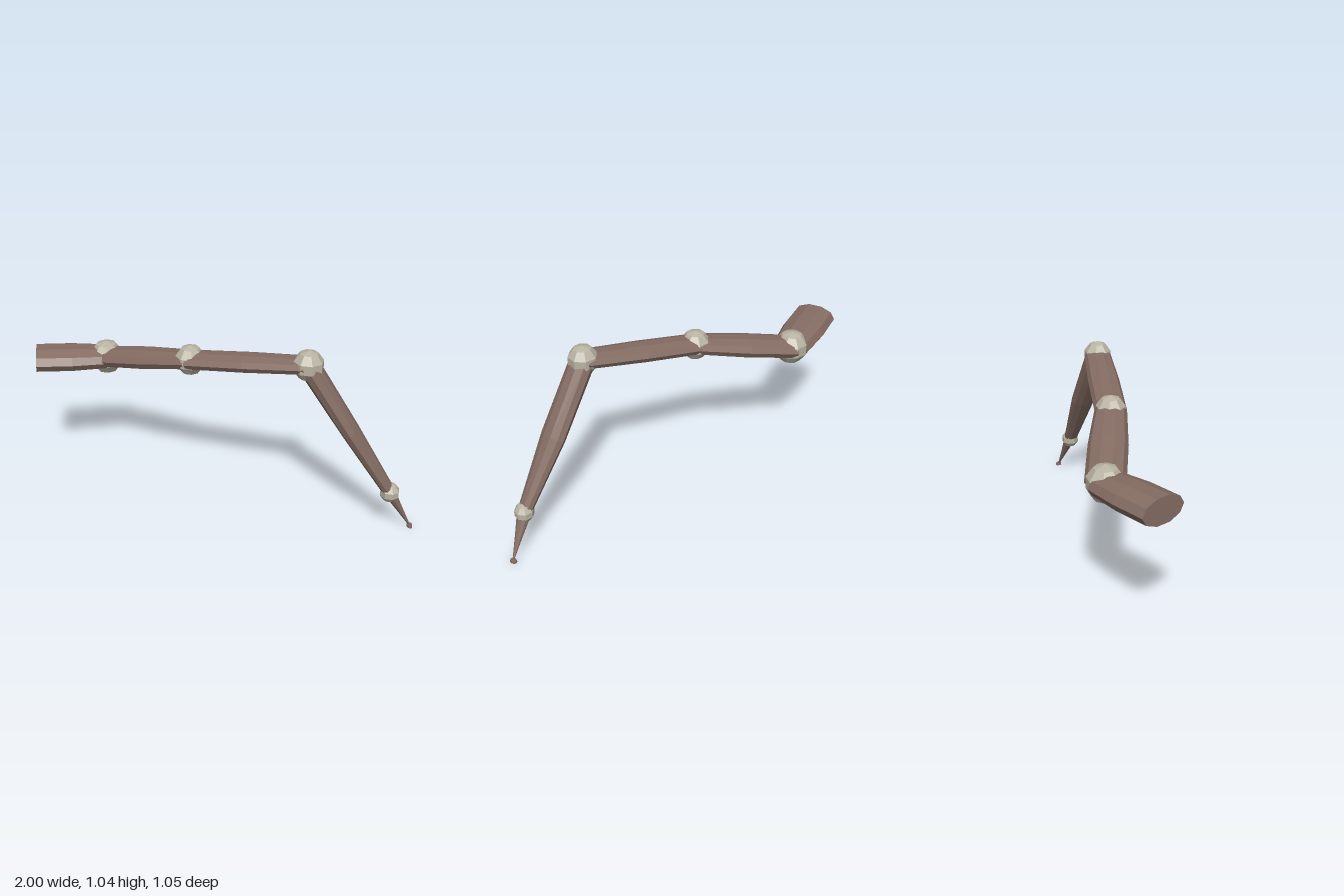
import * as THREE from 'three';

const V = (x, y, z) => new THREE.Vector3(x, y, z);

// Elliptical limb from a to b; sections are [half width, half thickness] at start, middle and end
function limb(name, a, b, sections, material) {
  const axis = b.clone().sub(a).normalize();
  const side = V(0, 1, 0).cross(axis).normalize();
  const up = side.clone().cross(axis);
  const geo = new THREE.CylinderGeometry(1, 1, 1, 10, sections.length - 1, false, Math.PI / 2);
  const pos = geo.attributes.position;
  for (let i = 0; i < pos.count; i++) {
    const t = pos.getY(i) + 0.5;
    const [w, h] = sections[Math.round(t * (sections.length - 1))];
    const p = a.clone().lerp(b, t)
      .addScaledVector(side, pos.getX(i) * w)
      .addScaledVector(up, pos.getZ(i) * h);
    pos.setXYZ(i, p.x, p.y, p.z);
  }
  geo.computeVertexNormals();
  const mesh = new THREE.Mesh(geo, material);
  mesh.name = name;
  return mesh;
}

// Faceted ball joint with an upright middle band
function ball(name, centre, radius, material) {
  const mesh = new THREE.Mesh(new THREE.SphereGeometry(radius, 8, 5), material);
  mesh.position.copy(centre);
  mesh.name = name;
  return mesh;
}

export function createModel() {
  const shell = new THREE.MeshStandardMaterial({ color: 0x846c62 });
  shell.name = 'brown shell';
  shell.flatShading = true;
  const joint = new THREE.MeshStandardMaterial({ color: 0xb8b3a2 });
  joint.name = 'pale joint';
  joint.flatShading = true;

  const root = V(-1, 0.745, -0.397);
  const hip = V(-0.605, 0.728, -0.402);
  const middle = V(-0.162, 0.863, -0.008);
  const knee = V(0.396, 0.962, 0.347);
  const ankle = V(0.847, 0.241, 0.471);
  const tip = V(0.984, 0.008, 0.472);

  const leg = new THREE.Group();
  leg.name = 'jointedLeg';

  // Limb segments, from the body outwards
  leg.add(
    limb('baseSegment', root, hip, [[0.124, 0.069], [0.126, 0.069], [0.107, 0.06]], shell),
    limb('upperSegment', hip, middle, [[0.1, 0.055], [0.102, 0.058], [0.086, 0.049]], shell),
    limb('middleSegment', middle, knee, [[0.086, 0.047], [0.088, 0.048], [0.078, 0.043]], shell),
    limb('shinSegment', knee, ankle, [[0.073, 0.056], [0.078, 0.048], [0.041, 0.033]], shell),
    limb('toeSegment', ankle, tip, [[0.042, 0.032], [0.022, 0.017], [0.004, 0.004]], shell)
  );

  // Ball joints
  leg.add(
    ball('hipJoint', hip, 0.098, joint),
    ball('middleJoint', middle, 0.084, joint),
    ball('kneeJoint', knee, 0.082, joint),
    ball('ankleJoint', ankle, 0.055, joint)
  );

  // Small flat foot pad
  const foot = new THREE.Mesh(new THREE.CylinderGeometry(0.019, 0.022, 0.015, 8), shell);
  foot.scale.x = 0.72;
  foot.position.set(0.984, 0.0075, 0.47);
  foot.name = 'footPad';
  leg.add(foot);

  return leg;
}
